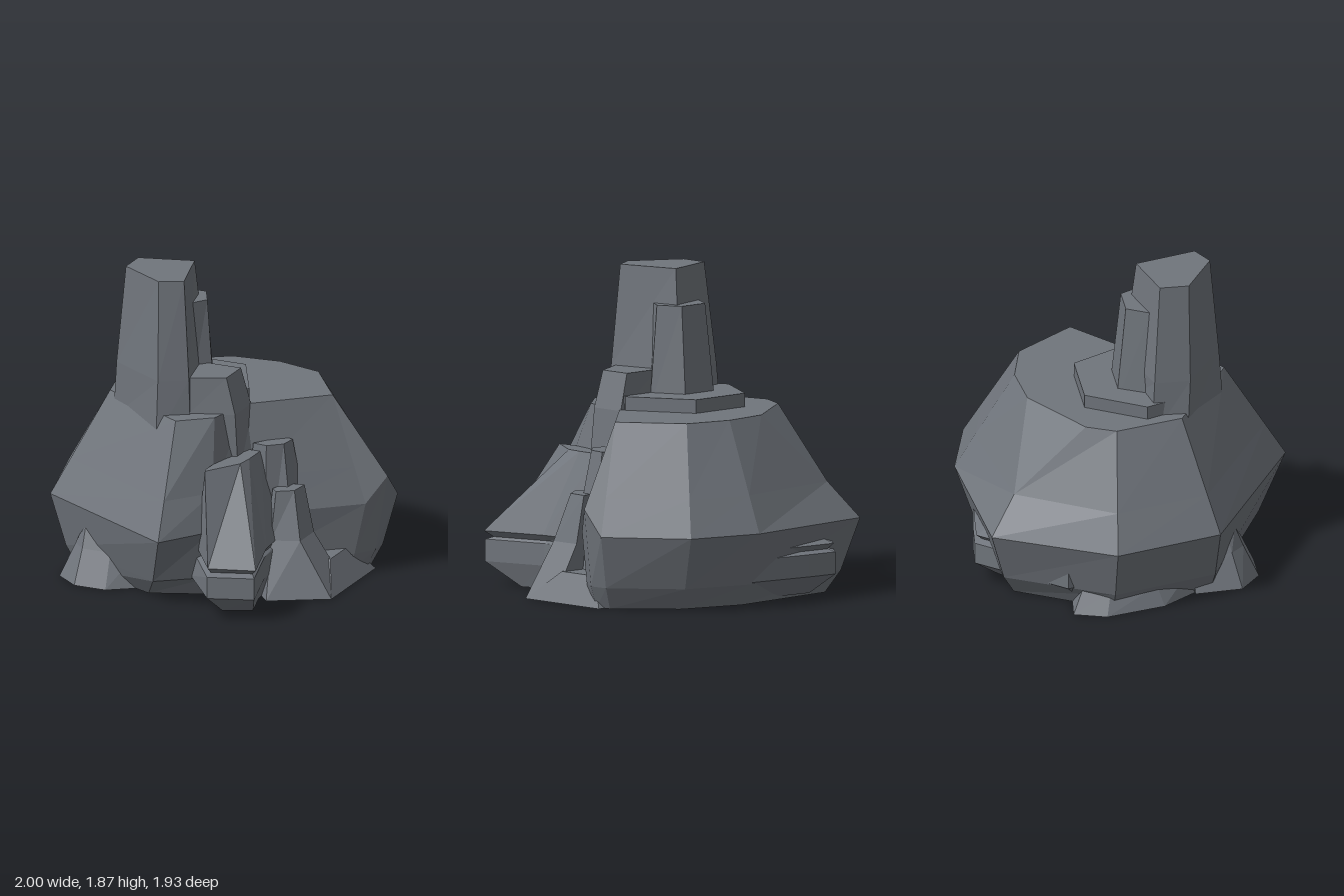
import * as THREE from 'three';

const stone = new THREE.MeshStandardMaterial({ color: 0x70757c });
stone.name = 'slate grey stone';

// Gives flat [x, z] outlines a height
const at = (y, pts) => pts.map(([x, z]) => [x, y, z]);

// Faceted solid skinned over matching rings of [x, y, z], listed bottom to top
function loft(name, ringsIn) {
  const first = ringsIn[0];
  const area = first.reduce((s, p, i) => {
    const q = first[(i + 1) % first.length];
    return s + q[0] * p[2] - p[0] * q[2];
  }, 0);
  const rings = area < 0 ? ringsIn.map((r) => [...r].reverse()) : ringsIn;
  const pos = [];
  const tri = (...pts) => pts.forEach((p) => pos.push(...p));

  for (let k = 0; k < rings.length - 1; k++) {
    const a = rings[k], b = rings[k + 1], n = a.length;
    for (let i = 0; i < n; i++) {
      const j = (i + 1) % n;
      tri(a[i], a[j], b[j]);
      tri(a[i], b[j], b[i]);
    }
  }
  // Caps, turned to face down and up
  for (const [ring, up] of [[rings[0], -1], [rings[rings.length - 1], 1]]) {
    const pts = ring.filter((p, i) => {
      const q = ring[(i + 1) % ring.length];
      return Math.hypot(p[0] - q[0], p[2] - q[2]) > 1e-4;
    });
    const flat = pts.map((p) => new THREE.Vector2(p[0], p[2]));
    for (const [i, j, k] of THREE.ShapeUtils.triangulateShape(flat, [])) {
      const [p, q, r] = [pts[i], pts[j], pts[k]];
      const ny = (q[2] - p[2]) * (r[0] - p[0]) - (q[0] - p[0]) * (r[2] - p[2]);
      if (ny * up > 0) tri(p, q, r); else tri(p, r, q);
    }
  }
  const geo = new THREE.BufferGeometry();
  geo.setAttribute('position', new THREE.Float32BufferAttribute(pos, 3));
  geo.computeVertexNormals();
  const mesh = new THREE.Mesh(geo, stone);
  mesh.name = name;
  return mesh;
}

function boulder() {
  const base = at(0, [[.8, -.14], [.87, -.26], [.86, -.36], [.58, -.66], [.2, -.78], [-.52, -.74],
    [-.52, -.74], [-.82, -.2], [-.66, .4], [-.1, .64], [.25, .5], [.38, .2]]);
  const belly = [[.91, .44, -.18], [1, .59, -.29], [1, .44, -.43], [.68, .44, -.85], [.24, .44, -.97],
    [-.66, .44, -.89], [-.66, .44, -.89], [-1, .44, -.2], [-.83, .44, .43], [.11, .44, .96],
    [.31, .44, .65], [.43, .44, .25]];
  const top = at(1.065, [[.68, -.22], [.68, -.22], [.68, -.22], [.43, -.56], [.15, -.63], [-.14, -.6],
    [-.55, -.32], [-.63, -.15], [-.53, .25], [.05, .59], [.23, .44], [.29, .14]]);
  // Undercut with a slight bulge, and a shoulder with a pointed back corner
  const low = belly.map((p, i) => [p[0] * .45 + base[i][0] * .55, .13, p[2] * .45 + base[i][2] * .55]);
  const shoulder = belly.map((p, i) => p.map((v, c) => v + (top[i][c] - v) * .34));
  shoulder[5] = shoulder[6] = [-.54, .65, -.74];
  return loft('mainBoulder', [base, low, belly, shoulder, top]);
}

export function createModel() {
  const model = new THREE.Group();
  model.name = 'rockFormation';
  model.add(boulder());

  // Tall spire and the steps around its foot
  const spireTop = [[-.4, .14], [-.08, .05], [.02, .41], [-.11, .48], [-.4, .31]];
  const spireFoot = [[-.46, .1], [-.04, -.02], [.065, .44], [-.09, .535], [-.46, .31]];
  model.add(loft('tallSpire', [
    at(.92, [[-.48, .08], [0, -.02], [.08, .45], [-.09, .56], [-.49, .29]]),
    at(1.27, spireFoot), at(1.865, spireTop)]));
  model.add(loft('backSpire', [
    at(1.05, [[-.37, .12], [-.26, -.095], [-.02, -.095], [.075, .11], [-.03, .23]]),
    at(1.655, [[-.31, .1], [-.235, -.035], [-.045, -.035], [.025, .1], [-.04, .2]])]));
  model.add(loft('shortSpire', [
    at(.8, [[0, .1], [.33, .1], [.33, .34], [.06, .46], [-.05, .3]]),
    at(1.06, [[0, .1], [.31, .11], [.31, .33], [.06, .44], [-.05, .3]]),
    at(1.275, [[0, .12], [.25, .12], [.25, .32], [.04, .42], [-.05, .3]])]));
  const plinth = [[-.31, -.29], [.09, -.29], [.29, .09], [.2, .28], [-.42, .28], [-.51, .05]];
  model.add(loft('plinth', [at(1, plinth), at(1.145, plinth)]));

  // Leaning rock at the front with a grooved foot
  model.add(loft('frontRock', [
    at(0, [[.58, .66], [.42, .74], [.26, .58], [.25, .2], [.5, .2], [.52, .45]]),
    at(.14, [[.68, .86], [.42, .95], [.16, .62], [.22, .2], [.55, .2], [.57, .48]]),
    at(.27, [[.68, .86], [.42, .95], [.19, .62], [.22, .2], [.55, .2], [.57, .48]]),
    at(.285, [[.65, .82], [.42, .9], [.22, .61], [.23, .2], [.54, .2], [.55, .47]]),
    at(.32, [[.69, .86], [.42, .94], [.2, .62], [.23, .2], [.55, .2], [.58, .48]]),
    at(.81, [[.4, .45], [.27, .66], [.26, .63], [.27, .2], [.41, .2], [.41, .35]])]));

  // Stepped spires on the side
  model.add(loft('sideSpireHigh', [
    at(0, [[.5, -.05], [.7, 0], [.66, .22], [.48, .28], [.33, .22]]),
    at(.85, [[.48, .01], [.54, .03], [.53, .13], [.45, .2], [.36, .19]])]));
  model.add(loft('sideSpireLow', [
    at(0, [[.91, .06], [.91, .29], [.58, .48], [.42, .3], [.45, .06]]),
    at(.32, [[.7, .08], [.7, .27], [.54, .33], [.48, .25], [.5, .08]]),
    at(.6, [[.64, .08], [.63, .2], [.54, .26], [.5, .22], [.53, .1]])]));

  // Low ledges around the base
  model.add(loft('sideLedge', [
    at(0, [[.91, .29], [.91, -.32], [.5, -.32], [.5, .29]]),
    at(.17, [[.81, .09], [.81, -.18], [.5, -.18], [.5, .09]])]));
  model.add(loft('frontLedge', [
    at(0, [[-.72, .3], [-.7, .58], [-.55, .7], [-.35, .7], [-.18, .58], [-.18, .3]]),
    at(.2, [[-.63, .3], [-.62, .53], [-.54, .61], [-.36, .61], [-.22, .53], [-.22, .3]]),
    at(.33, [[-.57, .3], [-.57, .5], [-.54, .56], [-.4, .56], [-.39, .5], [-.39, .3]])]));
  model.add(loft('leftLedge', [
    at(0, [[-.5, -.4], [-.86, -.44], [-.92, -.25], [-.84, .1], [-.7, .3], [-.5, .3]]),
    at(.12, [[-.5, -.35], [-.8, -.38], [-.85, -.22], [-.8, .06], [-.7, .25], [-.5, .25]])]));

  // Layered slab poking out under the back corner
  const slab = [[.25, -.86], [-.2, -.93], [-.4, -.95], [-.8, -.46], [-.76, -.36], [.2, -.5]];
  const shrink = (s) => slab.map(([x, z]) => [x * s, z * s]);
  model.add(loft('backSlab', [
    at(.02, shrink(.84)), at(.14, slab), at(.27, slab),
    at(.285, shrink(.95)), at(.32, shrink(.99)), at(.36, shrink(.88))]));

  return model;
}
